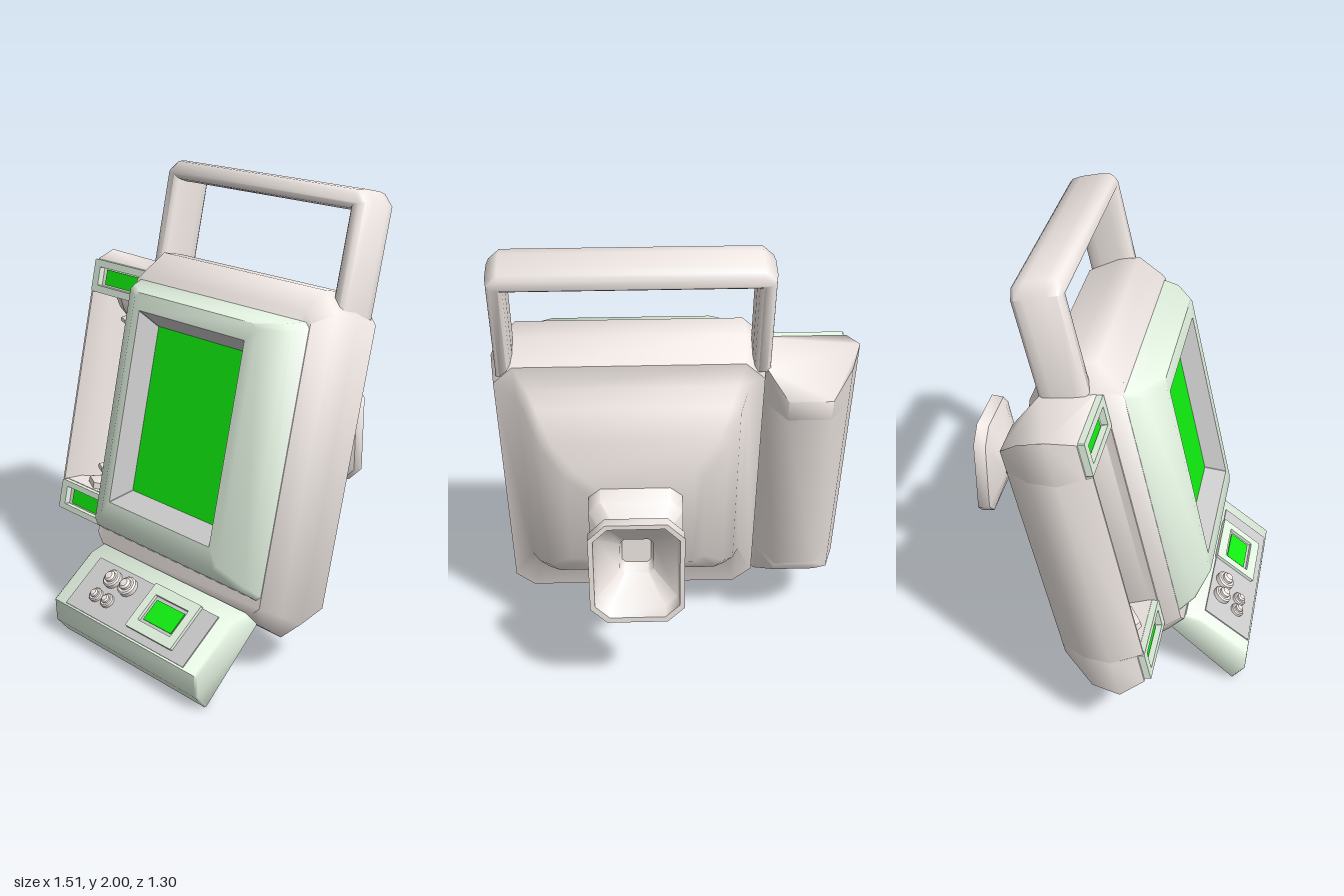
import * as THREE from 'three';
import { toCreasedNormals } from 'three/addons/utils/BufferGeometryUtils.js';

const cream = new THREE.MeshStandardMaterial({ color: 0xf0e8e4, side: THREE.DoubleSide });
const tint = new THREE.MeshStandardMaterial({ color: 0xe4f4e2, side: THREE.DoubleSide });
const grey = new THREE.MeshStandardMaterial({ color: 0xcccccc, side: THREE.DoubleSide });
const glow = new THREE.MeshStandardMaterial({ color: 0x10f010 });

function add(parent, name, geometry, material, x = 0, y = 0, z = 0) {
  const mesh = new THREE.Mesh(geometry, material);
  mesh.name = name;
  mesh.position.set(x, y, z);
  parent.add(mesh);
  return mesh;
}

// Rectangle with cut corners, counter-clockwise
function cutRect(x0, x1, y0, y1, c) {
  return [[x0 + c, y0], [x1 - c, y0], [x1, y0 + c], [x1, y1 - c],
    [x1 - c, y1], [x0 + c, y1], [x0, y1 - c], [x0, y0 + c]];
}

// Skin over cut-corner rectangles; each section is [z, x0, x1, y0, y1, cut]
function loft(sections, capStart, capEnd, crease) {
  const pos = [], idx = [], n = 8;
  for (const [z, ...r] of sections) for (const [x, y] of cutRect(...r)) pos.push(x, y, z);
  for (let i = 0; i < sections.length - 1; i++) {
    for (let j = 0; j < n; j++) {
      const a = i * n + j, b = i * n + (j + 1) % n;
      idx.push(a, b, b + n, a, b + n, a + n);
    }
  }
  const last = (sections.length - 1) * n;
  for (let j = 1; j < n - 1; j++) {
    if (capStart) idx.push(0, j + 1, j);
    if (capEnd) idx.push(last, last + j, last + j + 1);
  }
  const g = new THREE.BufferGeometry();
  g.setAttribute('position', new THREE.Float32BufferAttribute(pos, 3));
  g.setIndex(idx);
  return toCreasedNormals(g, crease);
}

const shapeOf = pts => new THREE.Shape(pts.map(p => new THREE.Vector2(...p)));

// Flat rectangular frame with a window, centred, growing along +z
function frame(w, h, holeW, holeH, depth) {
  const s = shapeOf(cutRect(-w / 2, w / 2, -h / 2, h / 2, 0.004));
  s.holes.push(shapeOf(cutRect(-holeW / 2, holeW / 2, -holeH / 2, holeH / 2, 0.002)));
  return new THREE.ExtrudeGeometry(s, { depth, bevelEnabled: false });
}

// Outline given as [x, z] pairs, raised from y0 to y1; bend(y, z) reshapes the heights
function upright(pts, y0, y1, bend = y => y) {
  const g = new THREE.ExtrudeGeometry(shapeOf(pts.map(([x, z]) => [x, -z])),
    { depth: y1 - y0, bevelEnabled: false });
  g.rotateX(-Math.PI / 2);
  g.translate(0, y0, 0);
  const p = g.attributes.position;
  for (let i = 0; i < p.count; i++) p.setY(i, bend(p.getY(i), p.getZ(i)));
  return toCreasedNormals(g, 1.2);
}

const lathe = (pts, sides) => toCreasedNormals(
  new THREE.LatheGeometry(pts.map(p => new THREE.Vector2(...p)), sides), 0.6);

export function createModel() {
  const model = new THREE.Group();
  model.name = 'terminal';

  // Everything but the keypad and rear socket leans back
  const leaning = new THREE.Group();
  leaning.name = 'leaningBody';
  leaning.rotation.x = -THREE.MathUtils.degToRad(13);
  model.add(leaning);

  // Main casing with a stepped mound on its back
  add(leaning, 'casing', loft([
    [-0.131, -0.11, 0.46, 0.60, 1.175, 0.04],
    [-0.06, -0.21, 0.56, 0.475, 1.28, 0.04],
    [-0.005, -0.26, 0.61, 0.435, 1.41, 0.04],
    [0.075, -0.29, 0.65, 0.40, 1.45, 0.04],
    [0.095, -0.36, 0.74, 0.19, 1.55, 0.08],
    [0.24, -0.38, 0.757, 0.135, 1.585, 0.09],
    [0.345, -0.36, 0.735, 0.185, 1.585, 0.08],
    [0.432, -0.33, 0.685, 0.25, 1.493, 0.04],
  ], true, true, 1.0), cream);

  // Screen surround, recess and panel
  add(leaning, 'screenBezel', loft([
    [0.415, -0.335, 0.69, 0.31, 1.46, 0.02],
    [0.50, -0.29, 0.65, 0.35, 1.44, 0.025],
    [0.568, -0.18, 0.54, 0.415, 1.417, 0.02],
    [0.568, -0.14, 0.483, 0.497, 1.343, 0.002],
  ], false, false, 1.0), tint);
  add(leaning, 'screenRecess', loft([
    [0.568, -0.14, 0.483, 0.497, 1.343, 0.002],
    [0.48, -0.095, 0.44, 0.56, 1.285, 0.002],
  ], false, false, 0.6), grey);
  add(leaning, 'screen', new THREE.BoxGeometry(0.54, 0.73, 0.02), glow, 0.1725, 0.9225, 0.472);

  // Carrying handle
  const arch = shapeOf([[-0.388, 1.48], [-0.388, 1.945], [-0.338, 1.993], [0.685, 1.993],
    [0.735, 1.945], [0.735, 1.48], [0.66, 1.48], [0.66, 1.905], [-0.31, 1.905], [-0.31, 1.48]]);
  const handle = new THREE.ExtrudeGeometry(arch, { depth: 0.09, bevelThickness: 0.06,
    bevelSize: 0.022, bevelOffset: -0.022, bevelSegments: 2 });
  add(leaning, 'handle', toCreasedNormals(handle, 0.9), cream, 0, 0, 0.16);

  // Side bay: two solid ends, sloping away at the rear, joined by an open trough
  const back = [[-0.757, 0.225], [-0.715, 0.10], [-0.63, -0.012], [-0.45, -0.012], [-0.37, 0.10], [-0.33, 0.225]];
  const solid = [[-0.72, 0.335], ...back, [-0.35, 0.335]];
  const trough = [[-0.71, 0.36], ...back, [-0.36, 0.36], [-0.37, 0.36], [-0.35, 0.225],
    [-0.40, 0.12], [-0.46, 0.04], [-0.62, 0.04], [-0.69, 0.12], [-0.735, 0.225], [-0.70, 0.36]];
  const slopeTop = (y, z) => y < 1.45 ? y : z > 0.3 ? 1.49 : z > 0.2 ? 1.535 : 1.435 + Math.max(z, 0) * 0.75;
  const slopeBottom = (y, z) => y > 0.4 ? y : z > 0.3 ? 0.287 : z > 0.2 ? 0.25 : z > 0.05 ? 0.272 : 0.39;
  add(leaning, 'bayTrough', upright(trough, 0.43, 1.335), cream);
  for (const [name, y0, y1, bend] of [['bayTop', 1.335, 1.49, slopeTop], ['bayBottom', 0.287, 0.43, slopeBottom]]) {
    const mid = (y0 + y1) / 2;
    add(leaning, name, upright(solid, y0, y1, bend), cream);
    add(leaning, name + 'Frame', frame(0.35, y1 - y0 - 0.005, 0.27, 0.085, 0.033), tint, -0.535, mid, 0.33);
    add(leaning, name + 'Light', new THREE.BoxGeometry(0.22, 0.07, 0.02), glow, -0.535, mid, 0.33);
  }

  // Hanging nozzle and the pedestal below it
  add(leaning, 'nozzle', lathe([[0, -0.225], [0.018, -0.22], [0.028, -0.2], [0.018, -0.175],
    [0.05, -0.165], [0.06, -0.145], [0.045, -0.13], [0.085, -0.115], [0.085, -0.1],
    [0.06, -0.085], [0.1, -0.05], [0.13, 0]], 6), cream, -0.535, 1.336, 0.2);
  add(leaning, 'pedestal', lathe([[0.12, 0], [0.12, 0.03], [0.06, 0.045], [0.06, 0.065],
    [0.085, 0.08], [0.085, 0.1], [0, 0.1]], 6), cream, -0.535, 0.428, 0.2);

  // Hollow waisted socket at the rear
  add(model, 'rearSocket', loft([
    [-0.50, 0.115, 0.235, 0.74, 0.87, 0.015],
    [-0.55, 0.105, 0.245, 0.72, 0.89, 0.02],
    [-0.61, 0.01, 0.34, 0.59, 0.99, 0.05],
    [-0.65, 0.00, 0.35, 0.565, 1.01, 0.06],
    [-0.65, -0.02, 0.37, 0.54, 1.03, 0.07],
    [-0.595, -0.02, 0.37, 0.55, 1.025, 0.07],
    [-0.535, 0.075, 0.28, 0.72, 0.89, 0.04],
    [-0.44, -0.02, 0.37, 0.62, 1.0, 0.05],
    [-0.27, -0.02, 0.37, 0.66, 1.045, 0.05],
  ], true, false, 0.9), cream);

  // Keypad wedge, side profile extruded across x
  const wedge = new THREE.ExtrudeGeometry(
    shapeOf([[-0.30, 0.27], [-0.37, 0.345], [-0.44, 0.33], [-0.655, 0.17], [-0.65, 0.07], [-0.595, 0.002]]),
    { depth: 0.89, bevelThickness: 0.01, bevelSize: 0.008, bevelOffset: -0.008, bevelSegments: 1 });
  wedge.rotateY(Math.PI / 2);
  add(model, 'keypadBody', toCreasedNormals(wedge, 0.95), tint, -0.27, 0, 0);

  // Sloped control face
  const face = new THREE.Group();
  face.name = 'keypadFace';
  face.position.set(0, 0.25, 0.5475);
  face.rotation.x = -THREE.MathUtils.degToRad(53.3);
  model.add(face);
  add(face, 'keypadPlate', new THREE.BoxGeometry(0.75, 0.25, 0.01), grey, 0.175, 0, 0);
  add(face, 'keypadDisplayFrame', frame(0.28, 0.22, 0.2, 0.13, 0.02), tint, 0.315, 0.02, 0);
  add(face, 'keypadDisplay', new THREE.BoxGeometry(0.17, 0.1, 0.012), glow, 0.315, 0.02, 0.004);

  // Domed push buttons
  const button = lathe([[1, 0], [1, 0.45], [0.85, 0.6], [0.6, 0.6], [0.6, 0.85],
    [0.4, 1.05], [0, 1.12]], 12);
  for (const [x, y, r] of [[-0.05, 0.06, 0.043], [0.05, 0.06, 0.045], [-0.075, -0.035, 0.032], [0, -0.035, 0.032]]) {
    const b = add(face, 'button', button, cream, x, y, 0.004);
    b.rotation.x = Math.PI / 2;
    b.scale.setScalar(r);
  }
  return model;
}
